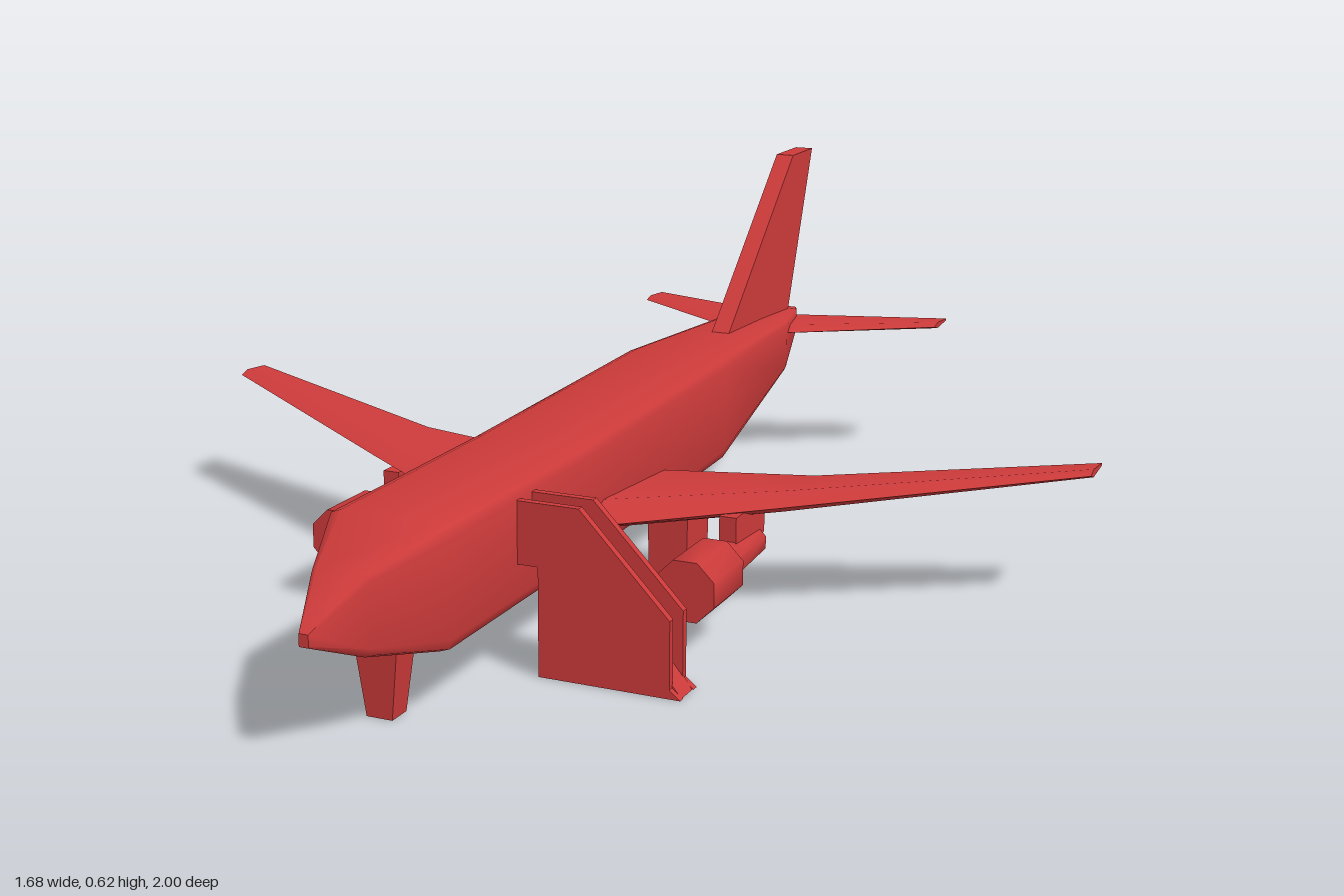
import * as THREE from 'three';
import { toCreasedNormals } from 'three/addons/utils/BufferGeometryUtils.js';

const material = new THREE.MeshStandardMaterial({ color: 0xcc3a3a });

// Skin a list of equal-length point rings and cap both ends
function loft(rings, crease = 0.9) {
  const n = rings[0].length, index = [];
  for (let i = 0; i < rings.length - 1; i++) {
    for (let j = 0; j < n; j++) {
      const a = i * n + j, b = i * n + (j + 1) % n;
      index.push(a, b, b + n, a, b + n, a + n);
    }
  }
  const last = (rings.length - 1) * n;
  for (let j = 1; j < n - 1; j++) {
    index.push(0, j + 1, j, last, last + j, last + j + 1);
  }
  const geometry = new THREE.BufferGeometry();
  geometry.setAttribute('position', new THREE.Float32BufferAttribute(rings.flat(2), 3));
  geometry.setIndex(index);
  return toCreasedNormals(geometry, crease);
}

// Lifting surface from stations [x, leadingZ, trailingZ, y, halfThickness]
function foil(side, stations) {
  const rings = stations.map(([x, le, te, y, t]) => {
    const front = le + (te - le) * 0.25;
    return [[te, y + t * 0.3], [front, y + t], [le, y], [front, y - t], [te, y - t * 0.3]]
      .map(([z, h]) => [side * x, h, z]);
  });
  return loft(side > 0 ? rings : rings.reverse(), 0.6);
}

function slab(points, depth) {
  const shape = new THREE.Shape(points.map(([x, y]) => new THREE.Vector2(x, y)));
  return new THREE.ExtrudeGeometry(shape, { depth, bevelEnabled: false })
    .translate(0, 0, -depth / 2);
}

// Upright leg that narrows from top to bottom
function leg(top, bottom, height, depthTop, depthBottom) {
  const g = new THREE.BoxGeometry(1, height, 1);
  const p = g.attributes.position;
  for (let i = 0; i < p.count; i++) {
    const up = p.getY(i) > 0;
    p.setX(i, p.getX(i) * (up ? top : bottom));
    p.setZ(i, p.getZ(i) * (up ? depthTop : depthBottom));
  }
  g.translate(0, height / 2, 0).computeVertexNormals();
  return g;
}

export function createModel() {
  const model = new THREE.Group();
  model.name = 'airliner';
  const add = (name, geometry, x = 0, y = 0, z = 0, parent = model) => {
    const mesh = new THREE.Mesh(geometry, material);
    mesh.name = name;
    mesh.position.set(x, y, z);
    parent.add(mesh);
    return mesh;
  };

  // Fuselage: softened square sections [z, halfWidth, bottom, top]
  const c = 0.78, m = 0.94;
  const outline = [[1, -c], [1, c], [m, m], [c, 1], [-c, 1], [-m, m],
    [-1, c], [-1, -c], [-m, -m], [-c, -1], [c, -1], [m, -m]];
  const sections = [
    [-0.94, 0.012, 0.272, 0.288], [-0.88, 0.035, 0.25, 0.298],
    [-0.72, 0.072, 0.2, 0.307], [-0.32, 0.102, 0.12, 0.32],
    [0.3, 0.105, 0.105, 0.305], [0.76, 0.105, 0.105, 0.303],
    [0.9, 0.048, 0.137, 0.263], [1, 0.008, 0.18, 0.2],
  ];
  add('fuselage', loft(sections.map(([z, w, lo, hi]) =>
    outline.map(([x, y]) => [x * w, (lo + hi) / 2 + y * (hi - lo) / 2, z]))));

  // Tail fin, drawn in profile and turned to run fore and aft
  add('tailFin', slab([[0.53, 0.305], [0.84, 0.27], [0.87, 0.29], [1, 0.62], [0.885, 0.62]], 0.036)
    .rotateY(Math.PI / 2));

  for (const side of [1, -1]) {
    const label = side > 0 ? 'left' : 'right';
    add(label + 'Wing', foil(side, [
      [0.06, 0.345, -0.025, 0.168, 0.026], [0.38, 0.16, -0.035, 0.195, 0.018],
      [0.84, -0.11, -0.19, 0.236, 0.007]]));
    add(label + 'Tailplane', foil(side, [
      [0.01, -0.7, -0.895, 0.278, 0.009], [0.325, -0.915, -0.998, 0.278, 0.006]]));

    // Engine: eight-sided nacelle with a narrow exhaust tucked under the wing
    const engine = new THREE.Group();
    engine.name = label + 'Engine';
    engine.position.set(side * 0.318, 0.115, 0);
    model.add(engine);
    const profile = [[0, 0.1], [0.028, 0.1], [0.034, 0.245], [0.054, 0.265], [0.054, 0.39], [0, 0.39]]
      .map(([r, z]) => new THREE.Vector2(r, z));
    add('nacelle', toCreasedNormals(
      new THREE.LatheGeometry(profile, 8, Math.PI / 8).rotateX(Math.PI / 2), 0.9), 0, 0, 0, engine);
    add('pylon', new THREE.BoxGeometry(0.03, 0.06, 0.13), 0, 0.042, 0.145, engine);

    add(label + 'MainGear', leg(0.075, 0.068, 0.165, 0.095, 0.093), side * 0.17, 0, 0.068);
  }
  add('noseGear', leg(0.075, 0.044, 0.125, 0.058, 0.042), 0, 0, 0.78);

  // Boarding stairs: two side panels with a recessed ramp between them
  const stairs = new THREE.Group();
  stairs.name = 'boardingStairs';
  stairs.position.z = 0.519;
  model.add(stairs);
  const panel = [[0.09, 0.18], [0.14, 0.18], [0.14, 0], [0.38, 0],
    [0.362, 0.015], [0.362, 0.125], [0.21, 0.283], [0.09, 0.283]];
  const ramp = [[0.09, 0.18], [0.14, 0.18], [0.14, 0], [0.378, 0],
    [0.2, 0.215], [0.09, 0.215]];
  for (const s of [1, -1]) add('sidePanel', slab(panel, 0.013), 0, 0, s * 0.026, stairs);
  add('ramp', slab(ramp, 0.045), 0, 0, 0, stairs);

  return model;
}
